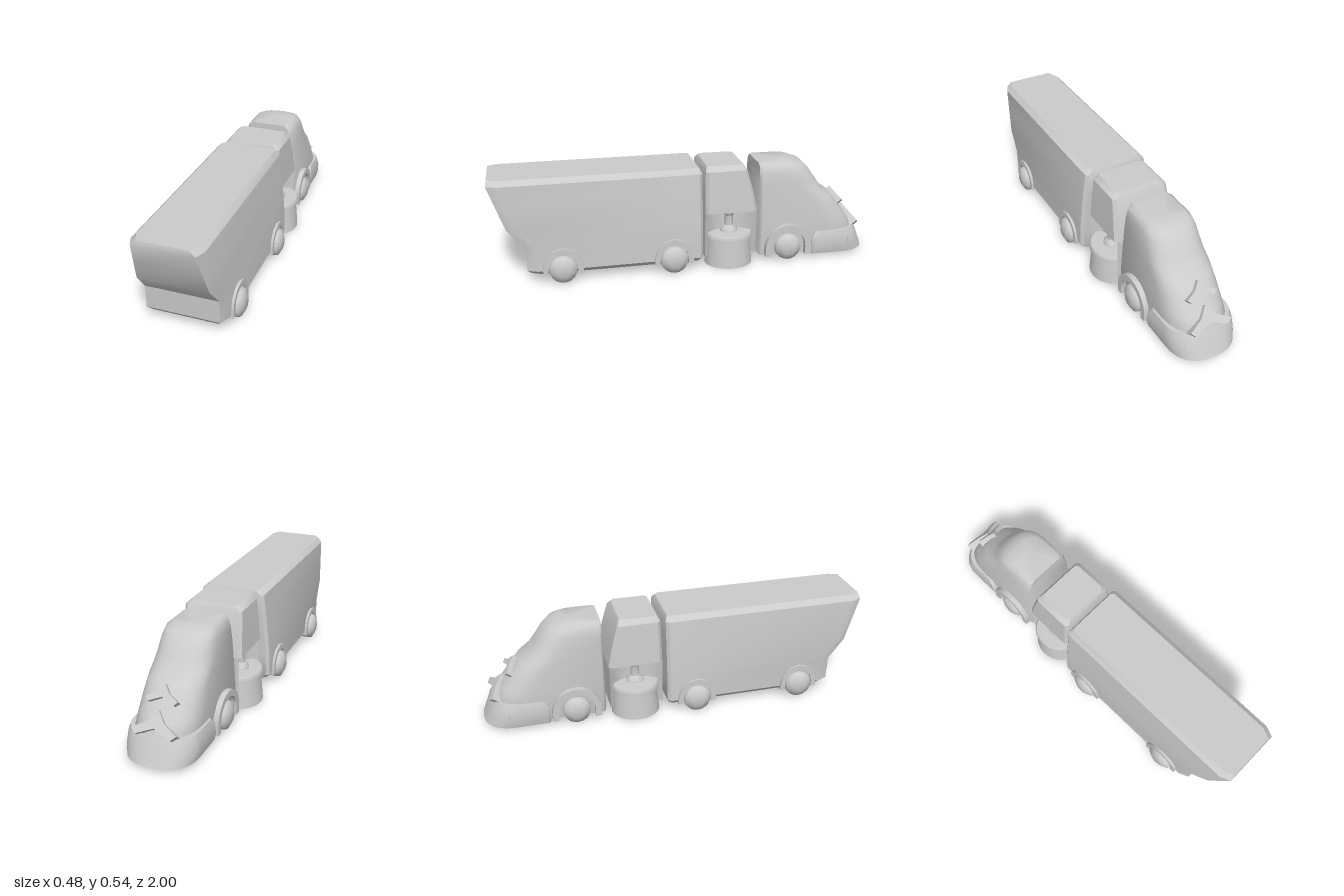
import * as THREE from 'three';
import { toCreasedNormals } from 'three/addons/utils/BufferGeometryUtils.js';

const material = new THREE.MeshStandardMaterial({ color: 0xcccccc, side: THREE.DoubleSide });

function add(parent, name, geometry, crease = 0.6) {
  const mesh = new THREE.Mesh(toCreasedNormals(geometry, crease), material);
  mesh.name = name;
  parent.add(mesh);
  return mesh;
}

// Closed solid through horizontal outlines [x, z], stacked from bottom to top
function loft(levels) {
  const n = levels[0].ring.length;
  const positions = [], index = [];
  for (const { y, ring } of levels) for (const [x, z] of ring) positions.push(x, y, z);
  for (let i = 0; i < levels.length - 1; i++) {
    for (let j = 0; j < n; j++) {
      const k = (j + 1) % n, a = i * n, b = a + n;
      index.push(a + j, a + k, b + k, a + j, b + k, b + j);
    }
  }
  for (const i of [0, levels.length - 1]) {
    const { y, ring } = levels[i];
    const centre = positions.length / 3;
    positions.push(0, y, ring.reduce((s, p) => s + p[1], 0) / n);
    for (let j = 0; j < n; j++) {
      const p = i * n + j, q = i * n + (j + 1) % n;
      index.push(centre, i ? p : q, i ? q : p);
    }
  }
  const geometry = new THREE.BufferGeometry();
  geometry.setAttribute('position', new THREE.Float32BufferAttribute(positions, 3));
  geometry.setIndex(index);
  return geometry;
}

// Rectangle with cut corners: half width, z range, corner cuts at either end
function boxRing(w, z0, z1, c0 = 0.015, cx = c0, cz = c0) {
  return [[w, z1 - cz], [w, z0 + c0], [w - c0, z0], [c0 - w, z0],
    [-w, z0 + c0], [-w, z1 - cz], [cx - w, z1], [w - cx, z1]];
}

// Straight sides ending in a rounded nose towards -z
function noseRing(w, back, start, tip, c = 0.012) {
  const ring = [];
  for (let i = 0; i <= 18; i++) {
    const a = Math.PI * i / 18, cs = Math.cos(a);
    ring.push([w * Math.sign(cs) * Math.abs(cs) ** 0.8, start - (start - tip) * Math.sin(a) ** 0.9]);
  }
  ring.push([-w, back - c], [c - w, back], [w - c, back], [w, back - c]);
  return ring;
}

// Wheel with a domed face, pointing outwards along x
function addWheel(parent, side, z, outer, r) {
  const profile = [[0, -0.075], [r, -0.07], [r, -0.03], [r * 0.95, -0.016], [r * 0.5, 0], [0, 0.001]]
    .map(([a, b]) => new THREE.Vector2(a, b));
  const wheel = add(parent, 'wheel', new THREE.LatheGeometry(profile, 20), 0.9);
  wheel.rotation.z = -side * Math.PI / 2;
  wheel.position.set(side * outer, r + 0.003, z);
}

// Arched band over a wheel
function addArch(parent, side, z, x, depth, outer, inner, y, foot, segments) {
  const shape = new THREE.Shape();
  shape.moveTo(outer, foot);
  for (let i = 0; i <= segments; i++) {
    const a = Math.PI * i / segments;
    shape.lineTo(outer * Math.cos(a), y + outer * Math.sin(a));
  }
  shape.lineTo(-outer, foot);
  shape.lineTo(-inner, foot);
  for (let i = segments; i >= 0; i--) {
    const a = Math.PI * i / segments;
    shape.lineTo(inner * Math.cos(a), y + inner * Math.sin(a));
  }
  shape.lineTo(inner, foot);
  const geometry = new THREE.ExtrudeGeometry(shape, { depth, bevelEnabled: false });
  geometry.translate(0, 0, -depth / 2);
  const arch = add(parent, 'wheelArch', geometry);
  arch.rotation.y = Math.PI / 2;
  arch.position.set(side * (x - depth / 2), 0, z);
}

function createTrailer() {
  const trailer = new THREE.Group();
  trailer.name = 'trailer';
  // y, half width, rear end z
  const levels = [[0.047, 0.185, 0.81], [0.07, 0.205, 0.83], [0.19, 0.203, 0.835],
    [0.29, 0.194, 0.92], [0.4, 0.182, 0.96], [0.51, 0.169, 1], [0.535, 0.143, 0.995]];
  add(trailer, 'trailerBody', loft(levels.map(([y, w, z], i) => {
    const inset = i === 0 || i === levels.length - 1 ? 0.012 : 0;
    return { y, ring: boxRing(w, -0.065 + inset, z, 0.015, 0.022, 0.05) };
  })));
  for (const side of [-1, 1]) {
    for (const z of [0.655, 0.09]) {
      addWheel(trailer, side, z, 0.24, 0.071);
      addArch(trailer, side, z, 0.216, 0.06, 0.1, 0.074, 0.086, 0.05, 6);
    }
  }
  return trailer;
}

function createMiddle() {
  const middle = new THREE.Group();
  middle.name = 'middleModule';
  add(middle, 'hood', loft([
    { y: 0.29, ring: boxRing(0.168, -0.362, -0.083) },
    { y: 0.4, ring: boxRing(0.16, -0.338, -0.085) },
    { y: 0.51, ring: boxRing(0.15, -0.308, -0.088) },
    { y: 0.535, ring: boxRing(0.125, -0.292, -0.1) },
  ]));
  // Waisted core between the two drums
  const core = [];
  for (let i = 0; i <= 8; i++) {
    core.push([0.085 + 0.07 * Math.abs(i / 4 - 1) ** 3, -0.083 - 0.275 * i / 8]);
  }
  const ring = core.concat(core.map(([x, z]) => [-x, z]).reverse());
  add(middle, 'core', loft([{ y: 0.05, ring }, { y: 0.295, ring }]));
  // Drum, collar and flared stem on each side
  const profile = [[0, 0], [0.126, 0], [0.112, 0.142], [0.124, 0.143], [0.124, 0.166], [0.117, 0.175],
    [0.045, 0.176], [0.042, 0.19], [0.023, 0.208], [0.021, 0.26], [0.036, 0.28], [0.038, 0.295]]
    .map(([r, y]) => new THREE.Vector2(r, y));
  for (const side of [-1, 1]) {
    const drum = add(middle, 'drum', new THREE.LatheGeometry(profile, 32), 0.7);
    drum.scale.x = 0.88;
    drum.position.set(side * 0.113, 0, -0.22);
  }
  return middle;
}

function createCab() {
  const cab = new THREE.Group();
  cab.name = 'cab';
  // y, half width, nose start z, nose tip z
  const body = [[0.03, 0.15, -0.76, -0.92], [0.145, 0.155, -0.76, -0.94], [0.2, 0.152, -0.74, -0.9],
    [0.27, 0.148, -0.7, -0.85], [0.33, 0.144, -0.66, -0.8], [0.37, 0.141, -0.62, -0.745],
    [0.42, 0.137, -0.58, -0.71], [0.47, 0.131, -0.56, -0.675], [0.51, 0.12, -0.54, -0.635],
    [0.527, 0.098, -0.52, -0.59]];
  add(cab, 'cabBody', loft(body.map(([y, w, start, tip]) =>
    ({ y, ring: noseRing(w, -0.382, start, tip) }))), 0.8);
  const bumper = [[0.02, 0.168, -0.84, -1, -0.668], [0.06, 0.177, -0.83, -0.983, -0.668],
    [0.115, 0.174, -0.82, -0.962, -0.675], [0.145, 0.166, -0.81, -0.948, -0.7]];
  add(cab, 'bumper', loft(bumper.map(([y, w, start, tip, back]) =>
    ({ y, ring: noseRing(w, back, start, tip) }))));

  // Raised arrow-shaped trims up the nose
  for (const [y, z, s] of [[0.3, -0.84, 0.8], [0.19, -0.92, 1.1]]) {
    const shape = new THREE.Shape([[0, 0.06], [0.035, 0.012], [0.1, -0.028], [0.078, -0.05], [0, -0.015],
      [-0.078, -0.05], [-0.1, -0.028], [-0.035, 0.012]].map(([a, b]) => new THREE.Vector2(a * s, b * s)));
    const geometry = new THREE.ExtrudeGeometry(shape, { depth: 0.06, bevelEnabled: false });
    geometry.translate(0, 0, -0.05);
    const trim = add(cab, 'noseTrim', geometry);
    trim.position.set(0, y, z);
    trim.lookAt(0, y + 0.61, z - 0.79);
  }

  for (const side of [-1, 1]) {
    addWheel(cab, side, -0.535, 0.193, 0.071);
    addArch(cab, side, -0.535, 0.18, 0.05, 0.126, 0.094, 0.075, 0.03, 16);
    // Lamps on the bumper corners
    const lamp = add(cab, 'lamp', new THREE.BoxGeometry(0.012, 0.035, 0.075));
    lamp.position.set(side * 0.146, 0.08, -0.9);
    lamp.rotation.y = side * 0.6;
  }
  return cab;
}

export function createModel() {
  const model = new THREE.Group();
  model.name = 'roadTrain';
  model.add(createTrailer(), createMiddle(), createCab());
  return model;
}
